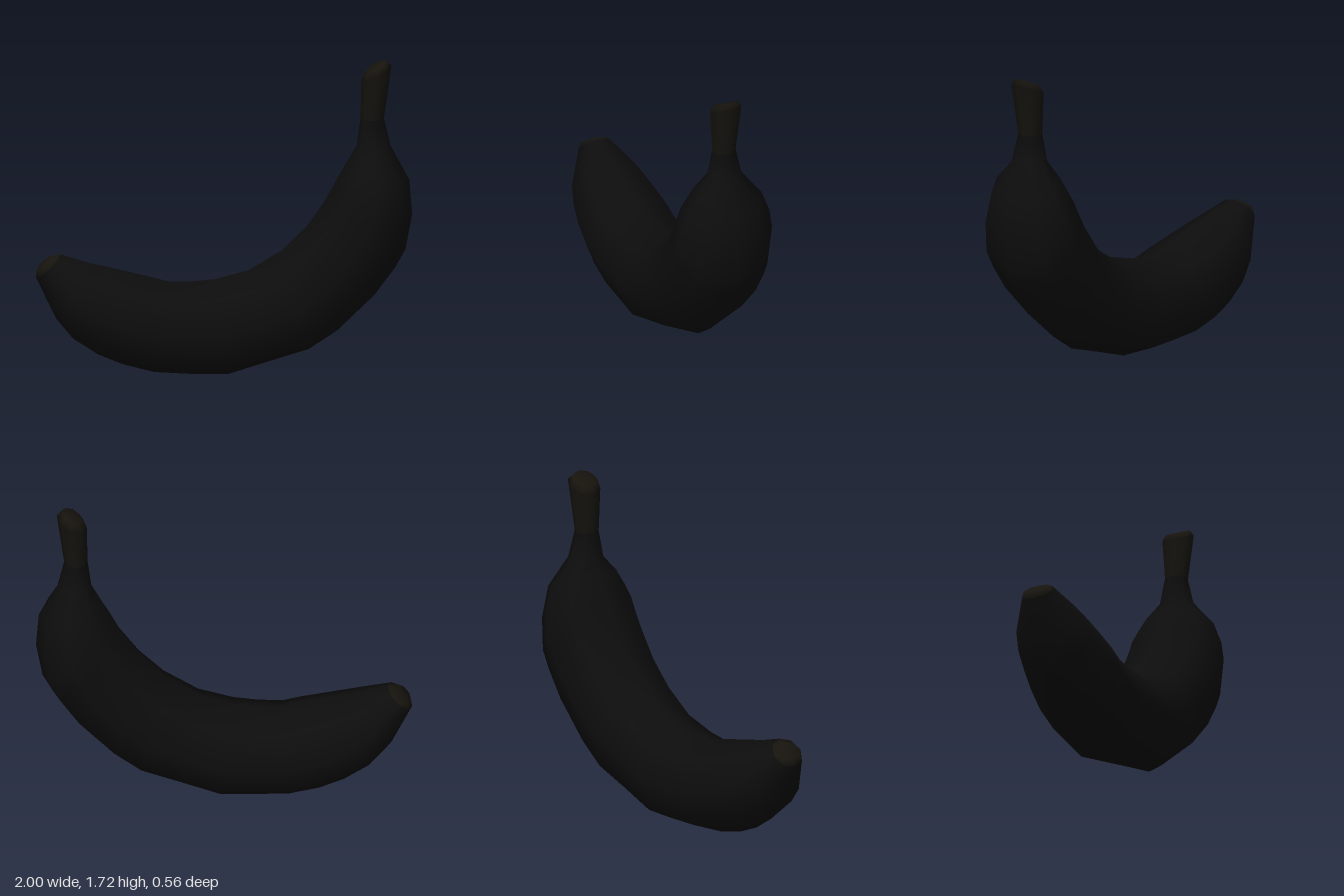
import * as THREE from 'three';

const SIDES = 8;

// Cross-sections from blossom tip to stem: [outer x, outer y, inner x, inner y, half width in z]
const SECTIONS = [
  [-0.955, 0.62, -0.955, 0.62, 0],
  [-0.995, 0.58, -0.91, 0.655, 0.07],
  [-1.0, 0.54, -0.87, 0.665, 0.09],
  [-0.89, 0.31, -0.71, 0.615, 0.19],
  [-0.8, 0.2, -0.62, 0.595, 0.22],
  [-0.67, 0.115, -0.5, 0.565, 0.245],
  [-0.54, 0.06, -0.38, 0.535, 0.26],
  [-0.37, 0.015, -0.29, 0.51, 0.26],
  [-0.17, 0.003, -0.17, 0.512, 0.26],
  [0.02, 0, -0.05, 0.522, 0.27],
  [0.24, 0.07, 0.13, 0.57, 0.262],
  [0.45, 0.135, 0.31, 0.68, 0.275],
  [0.6, 0.235, 0.44, 0.81, 0.275],
  [0.8, 0.43, 0.53, 0.94, 0.28],
  [0.91, 0.58, 0.58, 1.03, 0.28],
  [0.965, 0.68, 0.605, 1.08, 0.28],
  [1.0, 0.87, 0.635, 1.13, 0.25],
  [0.985, 1.06, 0.67, 1.19, 0.2],
  [0.885, 1.25, 0.705, 1.25, 0.098],
  [0.85, 1.4, 0.725, 1.4, 0.065],
  [0.89, 1.69, 0.73, 1.62, 0.092],
  [0.86, 1.715, 0.755, 1.66, 0.07],
  [0.805, 1.685, 0.805, 1.685, 0],
];

// Triangles of the skin between two sections
function skinIndex(from, to) {
  const index = [];
  for (let i = from; i < to; i++) {
    for (let j = 0; j < SIDES; j++) {
      const k = (j + 1) % SIDES;
      const a = i * SIDES + j, b = i * SIDES + k;
      const c = a + SIDES, d = b + SIDES;
      if (i < SECTIONS.length - 2) index.push(a, c, b);
      else index.push(a, c, b); // closes on the end point
      if (i > 0 && i < SECTIONS.length - 2) index.push(b, c, d);
      else if (i === 0) index.push(b, c, d); // opens from the end point
    }
  }
  return index;
}

export function createModel() {
  const group = new THREE.Group();
  group.name = 'banana';

  // Octagonal rings along the curved body
  const positions = [];
  for (const [ox, oy, ix, iy, w] of SECTIONS) {
    for (let j = 0; j < SIDES; j++) {
      const t = (j / SIDES) * Math.PI * 2;
      const c = Math.cos(t) / 2;
      positions.push((ox + ix) / 2 + c * (ox - ix), (oy + iy) / 2 + c * (oy - iy), Math.sin(t) * w);
    }
  }
  const skin = new THREE.BufferGeometry();
  skin.setAttribute('position', new THREE.Float32BufferAttribute(positions, 3));
  skin.setIndex(skinIndex(0, SECTIONS.length - 1));
  skin.computeVertexNormals();

  // Parts share the smooth normals of the whole skin
  const addPart = (name, from, to, color) => {
    const geometry = skin.clone();
    geometry.setIndex(skinIndex(from, to));
    const mesh = new THREE.Mesh(geometry, new THREE.MeshStandardMaterial({ color }));
    mesh.name = name;
    group.add(mesh);
  };
  addPart('blossomTip', 0, 2, 0x17140e);
  addPart('peel', 2, 19, 0x0d0d0d);
  addPart('stem', 19, 20, 0x12110c);
  addPart('stemCap', 20, 22, 0x17140e);

  return group;
}
